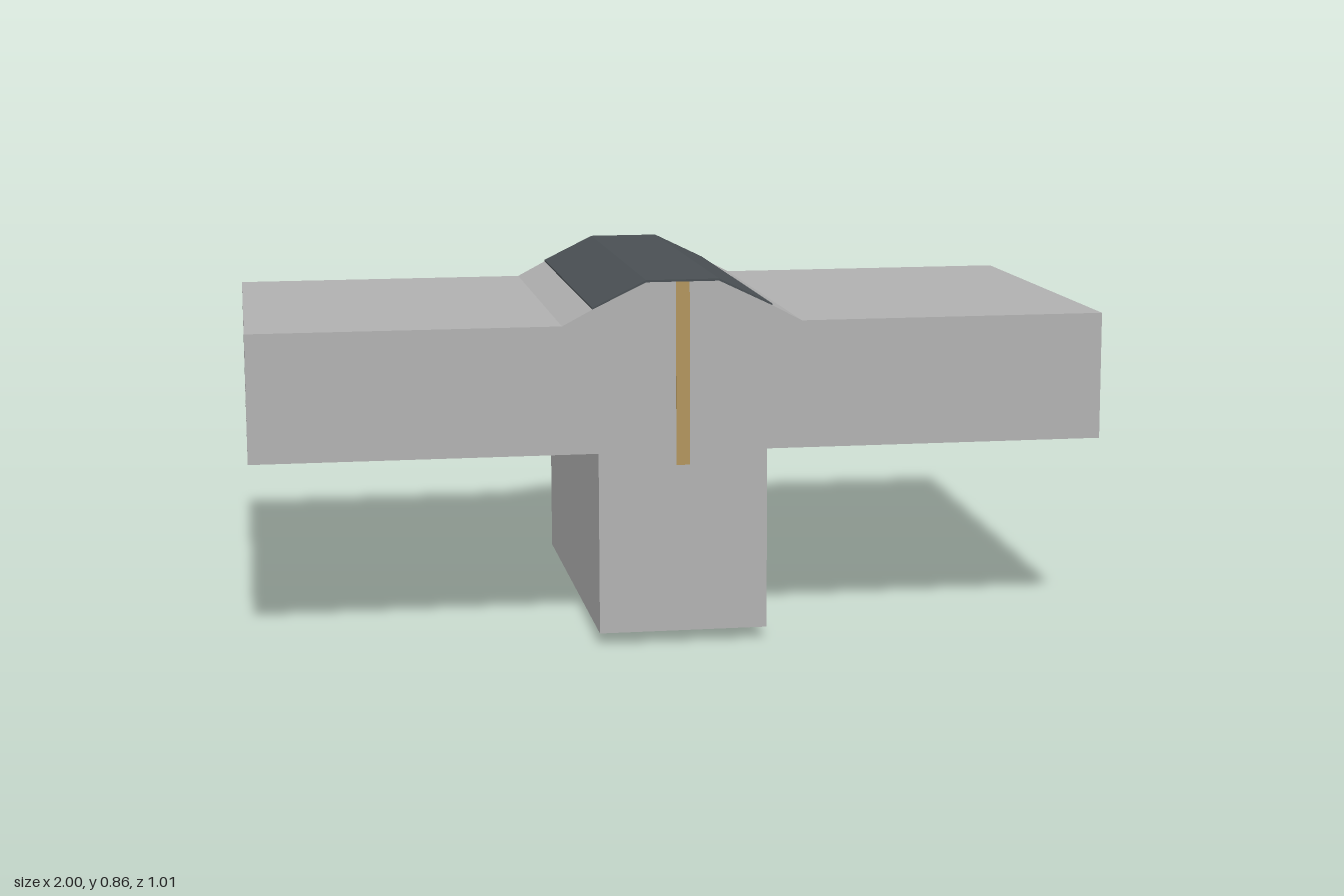
import * as THREE from 'three';
import { toCreasedNormals } from 'three/addons/utils/BufferGeometryUtils.js';

const LENGTH = 0.98;

// Closed shape from [x, y] points
const polygon = (points) => new THREE.Shape(points.map(([x, y]) => new THREE.Vector2(x, y)));

// Constant section running front to back, centred on z
function alongZ(points, length = LENGTH) {
  const geometry = new THREE.ExtrudeGeometry(polygon(points), { depth: length, bevelEnabled: false });
  return geometry.translate(0, 0, -length / 2);
}

export function createModel() {
  const concrete = new THREE.MeshStandardMaterial({ color: 0xb0b0b0 });
  concrete.name = 'concrete';
  const membrane = new THREE.MeshStandardMaterial({ color: 0x4a5054 });
  membrane.name = 'dark membrane';
  const timber = new THREE.MeshStandardMaterial({ color: 0xb0935c });
  timber.name = 'tan strip';

  const model = new THREE.Group();
  model.name = 'slabJoint';
  const add = (name, geometry, material) => {
    const mesh = new THREE.Mesh(geometry, material);
    mesh.name = name;
    model.add(mesh);
  };

  // Supporting beam, running up between the slab ends
  add('beam', alongZ([[-0.198, 0], [0.198, 0], [0.198, 0.659], [-0.198, 0.659]]), concrete);

  // Hollow-core slabs on both sides, with five round cores each
  const section = polygon([[-LENGTH / 2, 0.427], [LENGTH / 2, 0.427], [LENGTH / 2, 0.659], [-LENGTH / 2, 0.659]]);
  for (let i = -2; i <= 2; i++) {
    section.holes.push(new THREE.Path().absarc(i * 0.196, 0.525, 0.066, 0, Math.PI * 2, true));
  }
  for (const [name, start] of [['leftSlab', 0.198], ['rightSlab', -1]]) {
    const slab = new THREE.ExtrudeGeometry(section, { depth: 0.802, bevelEnabled: false, curveSegments: 32 });
    slab.rotateY(Math.PI / 2).translate(start, 0, 0);
    add(name, toCreasedNormals(slab, 0.6), concrete);
  }

  // Topping layer with the raised ridge in the middle
  add('topping', alongZ([
    [-1, 0.659], [1, 0.659], [1, 0.726], [0.28, 0.726], [0.21, 0.763],
    [0.085, 0.823], [-0.085, 0.823], [-0.21, 0.763], [-0.28, 0.726], [-1, 0.726],
  ]), concrete);

  // Thin membrane over the ridge
  add('ridgeCover', alongZ([
    [-0.21, 0.763], [-0.085, 0.823], [0.085, 0.823], [0.21, 0.763],
    [0.21, 0.767], [0.085, 0.828], [-0.085, 0.828], [-0.21, 0.767],
  ]), membrane);

  // Joint strip through the full length, showing on both end faces
  add('jointStrip', alongZ([[-0.016, 0.395], [0.016, 0.395], [0.016, 0.823], [-0.016, 0.823]], LENGTH + 0.003), timber);

  // The whole piece falls gently towards the back
  model.rotation.x = -0.0306;
  model.position.set(0, 0.015, 0.0125);
  const root = new THREE.Group();
  root.name = 'deckSection';
  root.add(model);
  return root;
}
